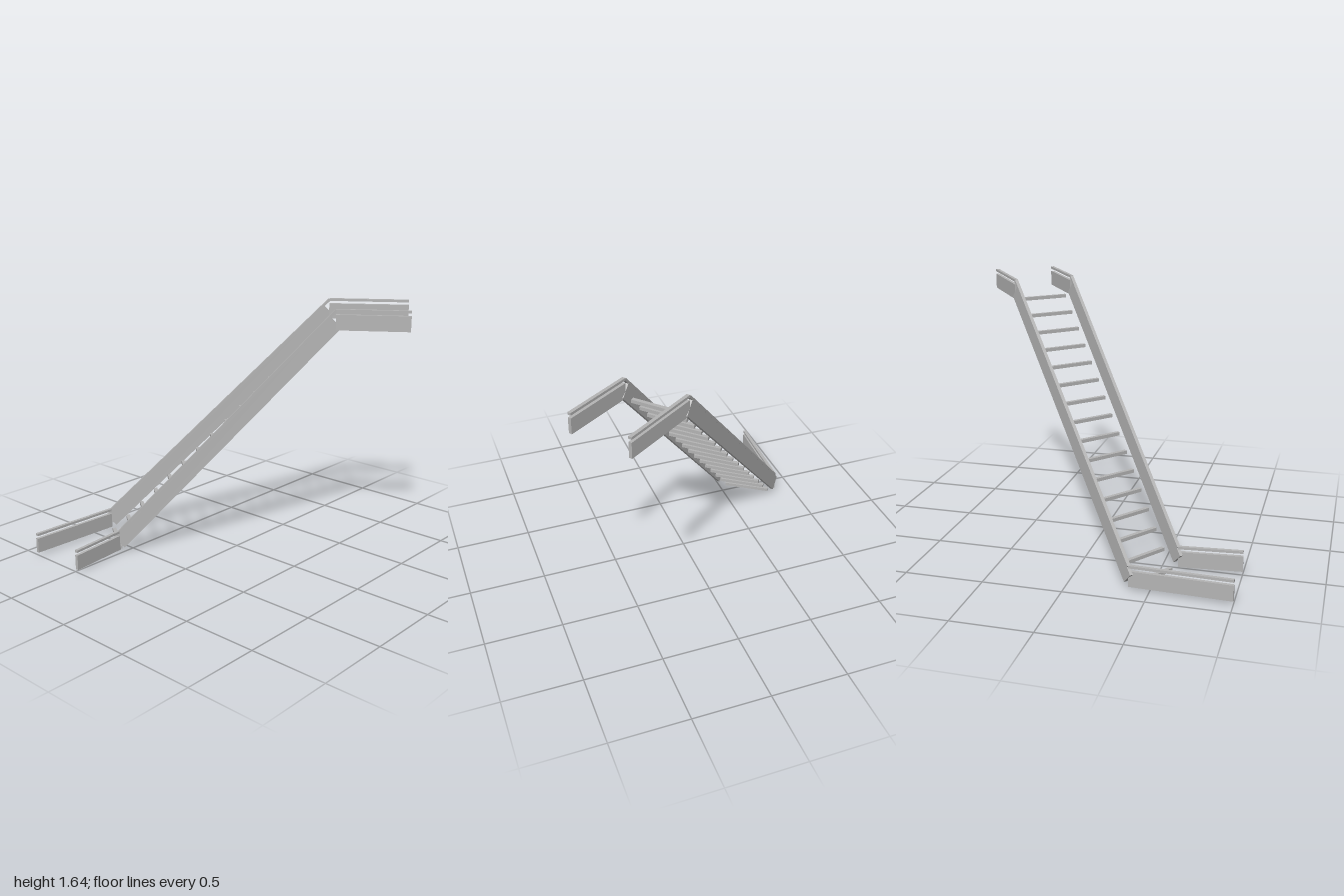
import * as THREE from 'three';

const metal = new THREE.MeshStandardMaterial({ color: 0xb4b4b4 });
metal.name = 'grey metal';

// Straight rectangular bar between two points, with its width kept level
function beam(name, a, b, width, height) {
  const dir = b.clone().sub(a);
  const length = dir.length();
  dir.normalize();
  const side = new THREE.Vector3().crossVectors(dir, new THREE.Vector3(0, 1, 0)).normalize();
  const up = new THREE.Vector3().crossVectors(side, dir);
  const mesh = new THREE.Mesh(new THREE.BoxGeometry(length, height, width), metal);
  mesh.name = name;
  mesh.quaternion.setFromRotationMatrix(new THREE.Matrix4().makeBasis(dir, up, side));
  mesh.position.copy(a).add(b).multiplyScalar(0.5);
  return mesh;
}

// One side: plan points [x, z] of lower end, foot, head and upper end
function makeSide(name, plan) {
  const side = new THREE.Group();
  side.name = name;
  const sections = ['lower', 'sloping', 'upper'];
  const follow = (part, low, high, width, height) => {
    const pts = plan.map(([x, z], i) => new THREE.Vector3(x, i < 2 ? low : high, z));
    sections.forEach((s, i) => side.add(beam(s + part, pts[i], pts[i + 1], width, height)));
  };
  follow('Handrail', 0.147, 1.632, 0.022, 0.016);
  follow('Panel', 0.07, 1.556, 0.021, 0.1);
  return side;
}

export function createModel() {
  const model = new THREE.Group();
  model.name = 'staircase';

  model.add(makeSide('backSide', [[-1, -0.89], [-0.372, -0.862], [0.685, 0.222], [0.985, 0.655]]));
  model.add(makeSide('frontSide', [[-1, -0.484], [-0.603, -0.52], [0.38, 0.5], [0.645, 0.89]]));

  // Treads, turning slightly as they climb
  const treads = new THREE.Group();
  treads.name = 'treads';
  const count = 16;
  const frontLow = new THREE.Vector3(-0.565, 0.012, -0.552);
  const frontHigh = new THREE.Vector3(0.414, 1.502, 0.465);
  const backLow = new THREE.Vector3(-0.384, 0.012, -0.82);
  const backHigh = new THREE.Vector3(0.645, 1.502, 0.257);
  for (let i = 0; i < count; i++) {
    const t = i / (count - 1);
    const a = frontLow.clone().lerp(frontHigh, t);
    const b = backLow.clone().lerp(backHigh, t);
    treads.add(beam('tread', a, b, 0.025, 0.022));
  }
  model.add(treads);
  return model;
}
